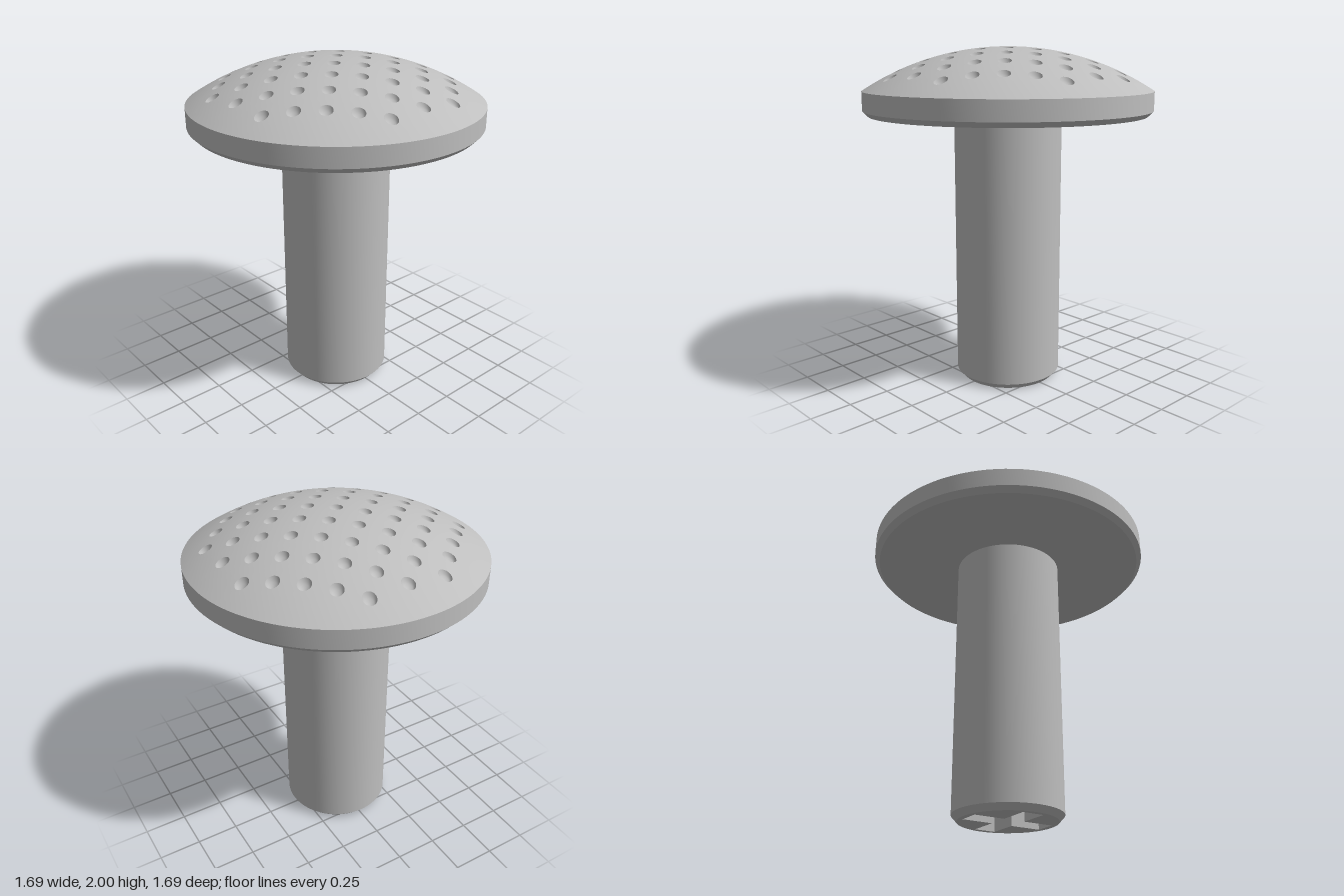
import * as THREE from 'three';
import { mergeVertices, toCreasedNormals } from 'three/addons/utils/BufferGeometryUtils.js';

const HEAD_R = 0.845, EDGE_Y = 1.75, TOP_Y = 2;
const PITCH = 0.112, HOLE_R = 0.037, HOLE_DEPTH = 0.03, STEPS = 6;
const RISE = TOP_Y - EDGE_Y;
const SPHERE_R = (HEAD_R ** 2 + RISE ** 2) / (2 * RISE);

// Height of the domed top at a point in plan
const domeY = (x, z) => TOP_Y - SPHERE_R + Math.sqrt(SPHERE_R ** 2 - x * x - z * z);
const onDome = ([x, z]) => [x, domeY(x, z), z];
const mix = (a, b, t) => a.map((v, i) => v + (b[i] - v) * t);

// Adds quads between nested closed loops, innermost first
function addLoops(out, loops) {
  for (let k = 0; k < loops.length - 1; k++) {
    const a = loops[k], b = loops[k + 1], n = a.length;
    for (let i = 0; i < n; i++) {
      const j = (i + 1) % n;
      out.push(...a[i], ...a[j], ...b[i], ...a[j], ...b[j], ...b[i]);
    }
  }
}

function smoothGeometry(positions) {
  const g = new THREE.BufferGeometry();
  g.setAttribute('position', new THREE.Float32BufferAttribute(positions, 3));
  const merged = mergeVertices(g, 1e-5);
  merged.computeVertexNormals();
  return merged;
}

// Splits every edge of a closed plan polygon into equal steps
function subdivide(corners) {
  return corners.flatMap((c, i) => {
    const next = corners[(i + 1) % corners.length];
    return Array.from({ length: STEPS }, (_, s) => mix(c, next, s / STEPS));
  });
}

function buildDome() {
  const skin = [], dimples = [];

  // Diamond cells in a staggered lattice, each with a round dimple
  for (let i = -6; i <= 6; i++) {
    for (let j = -6; j <= 6; j++) {
      if ((i + j) % 2 !== 0 || i * i + j * j > 40) continue;
      const c = [i * PITCH, j * PITCH];
      const outer = subdivide([[1, 0], [0, 1], [-1, 0], [0, -1]]
        .map(([x, z]) => [(i + x) * PITCH, (j + z) * PITCH]));
      const ring = (r) => outer.map((_, k) => {
        const a = k / outer.length * Math.PI * 2;
        return [c[0] + r * Math.cos(a), c[1] + r * Math.sin(a)];
      });
      const inner = ring(HOLE_R);
      const middle = inner.map((p, k) => mix(p, outer[k], 0.5));
      addLoops(skin, [inner, middle, outer].map((loop) => loop.map(onDome)));

      // Rounded bowl sunk below the surface
      addLoops(dimples, [0, 0.3, 0.6, 0.85, 1].map((t) => ring(HOLE_R * t).map(([x, z], k) => {
        const drop = HOLE_DEPTH * Math.sqrt(1 - t * t);
        return [x, domeY(...inner[k]) * t + domeY(...c) * (1 - t) - drop, z];
      })));
    }
  }

  // Plain border between the lattice outline and the round edge
  const quarter = [[7, 0], [6, 1], [7, 2], [6, 3], [5, 4], [4, 5], [3, 6], [2, 7], [1, 6]];
  const outline = [];
  for (let q = 0; q < 4; q++) {
    for (const [x, z] of quarter) {
      const [a, b] = [[x, z], [-z, x], [-x, -z], [z, -x]][q];
      outline.push([a * PITCH, b * PITCH]);
    }
  }
  const inside = subdivide(outline);
  const edge = inside.map(([x, z]) => {
    const s = HEAD_R / Math.hypot(x, z);
    return [x * s, z * s];
  });
  const loops = [0, 0.33, 0.67, 1].map((t) => inside.map((p, k) => onDome(mix(p, edge[k], t))));
  addLoops(skin, loops);
  return [smoothGeometry(skin), smoothGeometry(dimples)];
}

function lathe(profile, segments) {
  const points = profile.map(([r, y]) => new THREE.Vector2(r, y));
  return toCreasedNormals(new THREE.LatheGeometry(points, segments), 0.5);
}

export function createModel() {
  const model = new THREE.Group();
  model.name = 'domedStud';
  const metal = new THREE.MeshStandardMaterial({ color: 0xbebebe });
  metal.name = 'grey metal';
  const add = (name, geometry) => {
    const mesh = new THREE.Mesh(geometry, metal);
    mesh.name = name;
    model.add(mesh);
    return mesh;
  };

  // Dimpled head
  const [skin, dimples] = buildDome();
  add('headDome', skin);
  add('headDimples', dimples);
  add('headRim', lathe([[0.3, 1.61], [0.815, 1.61], [HEAD_R, 1.64], [HEAD_R, EDGE_Y]], 108));

  // Shaft with a chamfered foot
  add('shaft', lathe([[0.285, 0], [0.317, 0.035], [0.317, 1.61]], 64));

  // Foot face with a cross-shaped drive recess
  const w = 0.065, l = 0.25, depth = 0.15;
  const foot = new THREE.Shape().absarc(0, 0, 0.285, 0, Math.PI * 2);
  const cross = [[l, -w], [l, w], [w, w], [w, l], [-w, l], [-w, w],
    [-l, w], [-l, -w], [-w, -w], [-w, -l], [w, -l], [w, -w]];
  foot.holes.push(new THREE.Path(cross.map(([x, y]) => new THREE.Vector2(x, y))));
  const footGeometry = new THREE.ExtrudeGeometry(foot, { depth, bevelEnabled: false, curveSegments: 32 });
  add('footWithCrossRecess', footGeometry.rotateX(-Math.PI / 2));
  add('recessFloor', new THREE.CircleGeometry(0.285, 32).rotateX(Math.PI / 2)).position.y = depth;

  return model;
}
